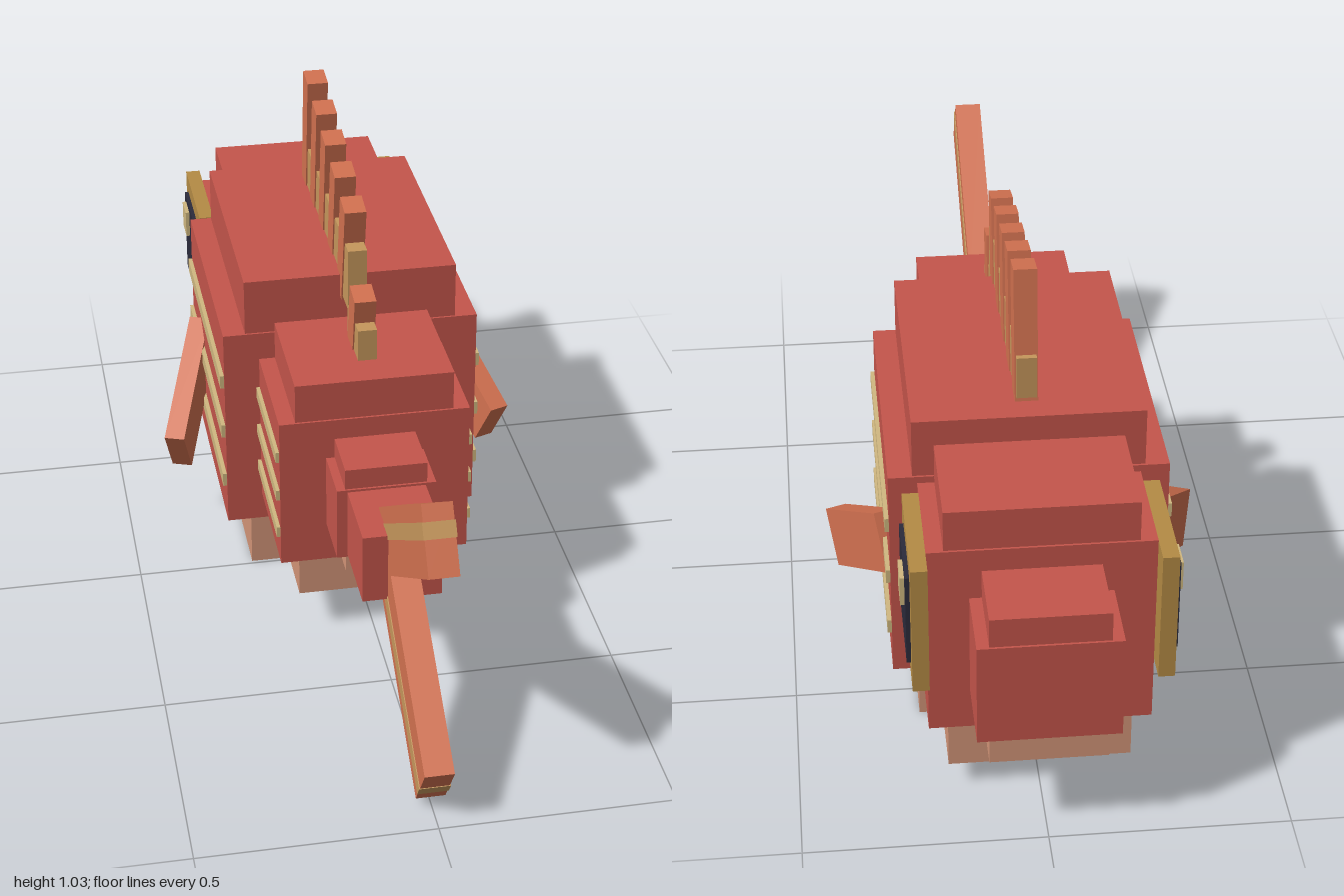
import * as THREE from 'three';

const paint = (name, color) => {
  const m = new THREE.MeshStandardMaterial({ color });
  m.name = name;
  return m;
};

export function createModel() {
  const red = paint('scale red', 0xc4554b);
  const belly = paint('belly pink', 0xd39578);
  const orange = paint('fin orange', 0xd27150);
  const tan = paint('fin tan', 0xc6975c);
  const gold = paint('eye gold', 0xb48b45);
  const dark = paint('pupil dark', 0x2b2b3b);
  const cream = paint('stripe cream', 0xd0b880);

  const fish = new THREE.Group();
  fish.name = 'fish';

  // Box by size and centre
  const box = (name, mat, size, pos) => {
    const mesh = new THREE.Mesh(new THREE.BoxGeometry(...size), mat);
    mesh.name = name;
    mesh.position.set(...pos);
    fish.add(mesh);
    return mesh;
  };
  // Box by its limits in y and z, centred on x
  const slab = (name, mat, halfX, y0, y1, z0, z1) =>
    box(name, mat, [halfX * 2, y1 - y0, z1 - z0], [0, (y0 + y1) / 2, (z0 + z1) / 2]);

  // Body: each section has a core, a narrower back and a belly
  const sections = [
    { name: 'snout', z: [-1.0, -0.83], core: [0.145, 0.26, 0.49], back: [0.12, 0.555], under: [0.12, 0.2] },
    { name: 'head', z: [-0.835, -0.585], core: [0.23, 0.165, 0.605], back: [0.195, 0.695], under: [0.19, 0.06] },
    { name: 'body', z: [-0.59, 0.003], core: [0.29, 0.129, 0.62], back: [0.24, 0.749], under: [0.235, 0] },
    { name: 'rearBody', z: [0, 0.295], core: [0.21, 0.198, 0.555], back: [0.174, 0.645], under: [0.168, 0.102] },
    { name: 'tailBase', z: [0.29, 0.43], core: [0.108, 0.291, 0.461], back: [0.089, 0.508], under: [0.086, 0.244] },
  ];
  for (const { name, z: [z0, z1], core, back, under } of sections) {
    slab(name, red, ...core, z0, z1);
    slab(name + 'Back', red, back[0], core[2], back[1], z0 + 0.005, z1 - 0.005);
    slab(name + 'Belly', belly, under[0], under[1], core[1], z0 + 0.008, z1 - 0.012);
  }
  slab('tailStem', red, 0.085, 0.297, 0.456, 0.42, 0.607);

  // Side stripes, eyes and pectoral fins on both sides
  for (const s of [1, -1]) {
    for (const y of [0.5, 0.37, 0.239])
      box('bodyStripe', cream, [0.009, 0.032, 0.583], [s * 0.2945, y, -0.293]);
    for (const y of [0.47, 0.373, 0.277])
      box('rearStripe', cream, [0.008, 0.025, 0.285], [s * 0.214, y, 0.147]);

    box('eyeFrame', gold, [0.034, 0.293, 0.27], [s * 0.247, 0.458, -0.759]);
    box('pupil', dark, [0.009, 0.207, 0.188], [s * 0.2685, 0.461, -0.765]);
    box('eyeGlint', cream, [0.009, 0.065, 0.064], [s * 0.2775, 0.516, -0.804]);

    const fin = box('pectoralFin', orange, [0.047, 0.13, 0.335], [s * 0.332, 0.292, -0.329]);
    fin.rotation.set(0.53, s * 0.349, 0, 'YXZ');
  }

  // Dorsal fin: membrane with leaning spines
  slab('dorsalMembrane', tan, 0.021, 0.705, 0.85, -0.525, 0.085);
  slab('rearMembrane', tan, 0.021, 0.635, 0.718, 0.075, 0.205);
  const spines = [ // top z, top y, length, lean
    [0.15, 0.78, 0.15, 0.19], [0.03, 0.936, 0.24, 0.19], [-0.094, 0.962, 0.25, 0.175],
    [-0.217, 0.984, 0.27, 0.16], [-0.336, 1.006, 0.29, 0.15], [-0.457, 1.03, 0.31, 0.135],
  ];
  for (const [z, y, len, lean] of spines) {
    const spine = box('dorsalSpine', orange, [0.048, len, 0.061],
      [0, y - Math.cos(lean) * len / 2, z - Math.sin(lean) * len / 2]);
    spine.rotation.x = lean;
  }

  // Forked tail: two bars, each with a tan ray offset outward
  for (const s of [1, -1]) {
    const angle = s * 0.586;
    const lobe = box('tailLobe', orange, [0.062, 0.144, 0.5], [0, 0.375 + s * 0.162, 0.749]);
    lobe.rotation.x = -angle;
    const ray = box('tailRay', tan, [0.066, 0.034, 0.503],
      [0, 0.375 + s * (0.162 + 0.02 * Math.cos(angle)), 0.749 - 0.02 * Math.sin(Math.abs(angle))]);
    ray.rotation.x = -angle;
  }
  return fish;
}
